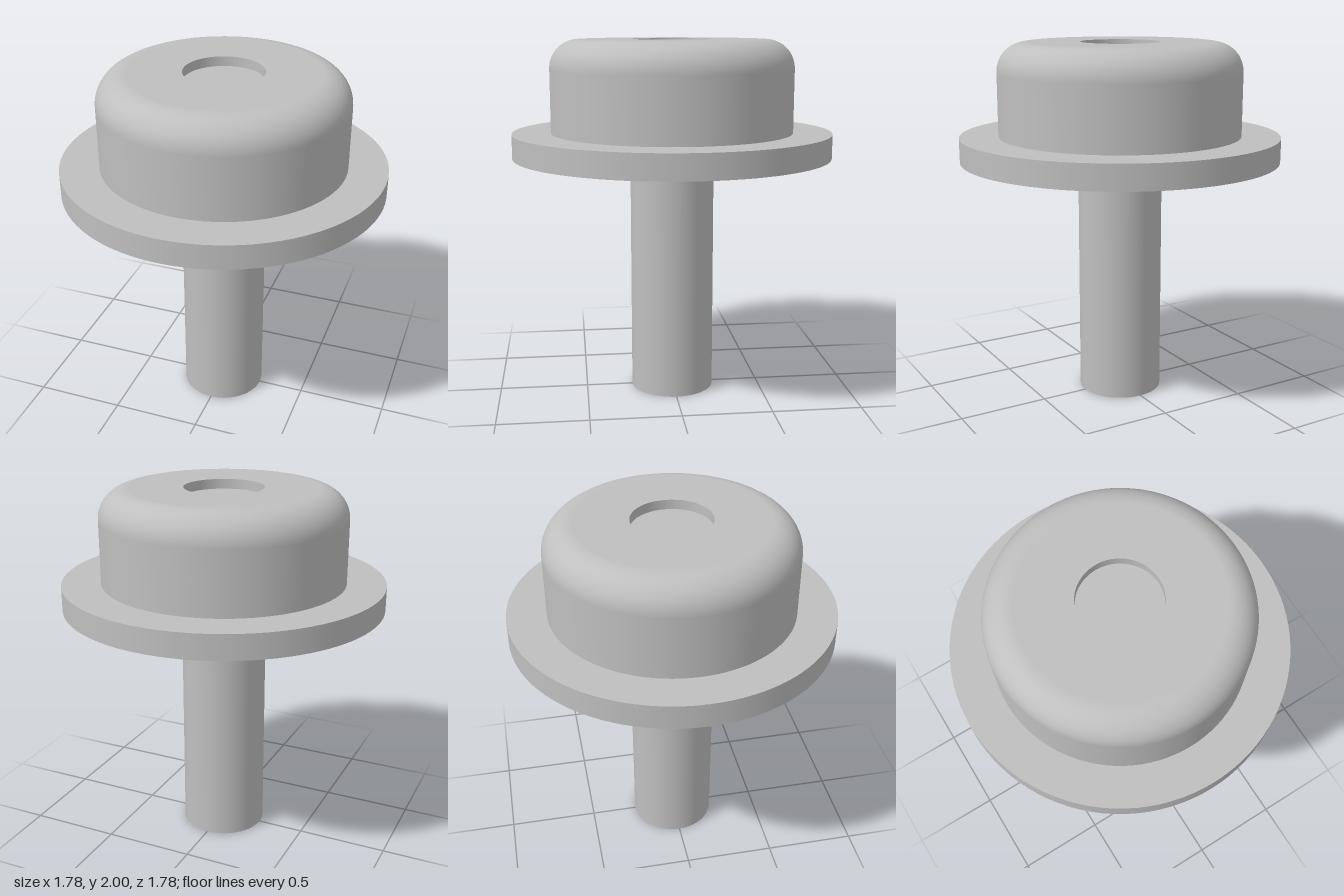
import * as THREE from 'three';
import { mergeGeometries } from 'three/addons/utils/BufferGeometryUtils.js';

const SEGMENTS = 96;
const grey = new THREE.MeshStandardMaterial({ color: 0xbfbfbf });
grey.name = 'plain grey';

// Revolves each smooth run of the profile on its own, so edges between runs stay sharp
function revolve(name, runs) {
  const parts = runs.map((run) =>
    new THREE.LatheGeometry(run.map(([r, y]) => new THREE.Vector2(r, y)), SEGMENTS));
  const mesh = new THREE.Mesh(mergeGeometries(parts), grey);
  mesh.name = name;
  return mesh;
}

// Splits a profile into straight runs, one for each pair of neighbouring points
const straight = (points) => points.slice(1).map((p, i) => [points[i], p]);

export function createModel() {
  const model = new THREE.Group();
  model.name = 'flangedButton';

  const shaftR = 0.235, flangeR = 0.89, capR = 0.675, holeR = 0.217;
  const flangeBottom = 1.355, flangeTop = 1.49, top = 2;
  const fillet = 0.16, holeDepth = 0.054;

  // Round shaft, closed at the foot
  model.add(revolve('shaft', straight([[0, 0], [shaftR, 0], [shaftR, flangeBottom]])));

  // Wide flat flange
  model.add(revolve('flange', straight([
    [shaftR, flangeBottom], [flangeR, flangeBottom], [flangeR, flangeTop], [capR, flangeTop],
  ])));

  // Cap with a rounded shoulder and a shallow round recess in its top
  const shoulder = [];
  for (let i = 0; i <= 20; i++) {
    const a = (i / 20) * Math.PI / 2;
    shoulder.push([capR - fillet + fillet * Math.cos(a), top - fillet + fillet * Math.sin(a)]);
  }
  model.add(revolve('cap', [
    [[capR, flangeTop], [capR, top - fillet]],
    shoulder,
    ...straight([[capR - fillet, top], [holeR, top], [holeR, top - holeDepth], [0, top - holeDepth]]),
  ]));

  return model;
}
